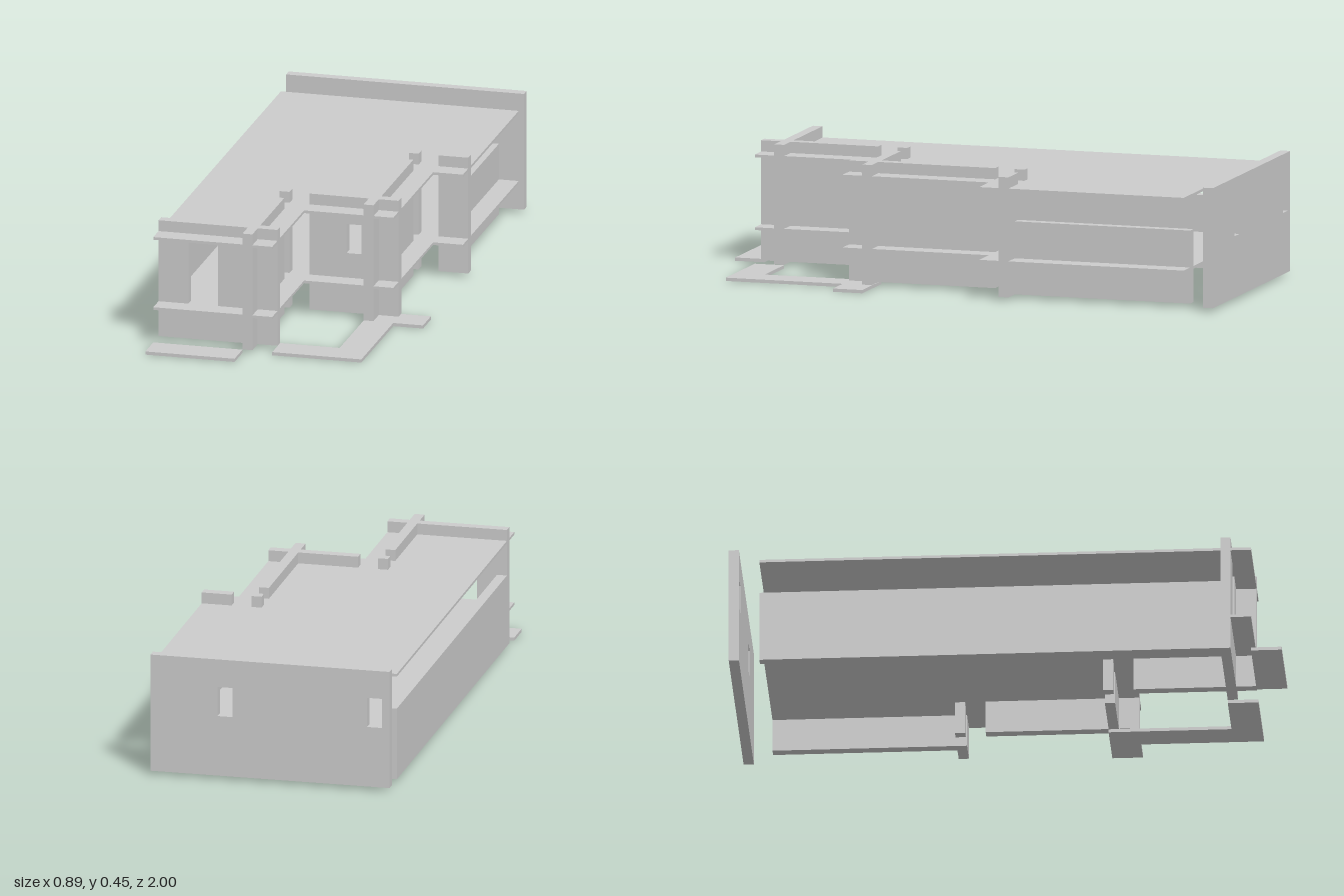
import * as THREE from 'three';

const M = 1 / 9;          // planning module
const T = M / 3;          // wall thickness
const BASE = 0.013;       // underside of the walls
const TOP = 0.452;        // top of the full-height walls
const LOW = 0.28;         // top of the low side walls

export function createModel() {
  const group = new THREE.Group();
  const material = new THREE.MeshStandardMaterial({ color: 0xcccccc, flatShading: true });

  const add = (name, geometry) => {
    const mesh = new THREE.Mesh(geometry, material);
    mesh.name = name;
    group.add(mesh);
    return mesh;
  };

  // Block given by its extents
  const block = (name, x0, x1, z0, z1, y0 = BASE, y1 = TOP) =>
    add(name, new THREE.BoxGeometry(x1 - x0, y1 - y0, z1 - z0))
      .position.set((x0 + x1) / 2, (y0 + y1) / 2, (z0 + z1) / 2);

  const outline = (points, Type = THREE.Shape) =>
    new Type(points.map(([x, y]) => new THREE.Vector2(x, y)));
  const rect = (x0, x1, y0, y1) => [[x0, y0], [x1, y0], [x1, y1], [x0, y1]];

  // Wall across x, pierced by rectangular openings [x0, x1, y0, y1]
  const piercedWall = (name, x0, x1, z, openings) => {
    const shape = outline(rect(x0, x1, BASE, TOP));
    shape.holes = openings.map((o) => outline(rect(...o).reverse(), THREE.Path));
    add(name, new THREE.ExtrudeGeometry(shape, { depth: T, bevelEnabled: false })).position.z = z;
  };

  // Flat slab from a plan outline in modules [x, z]
  const slab = (name, plan, y0, y1) => {
    const shape = outline(plan.map(([x, z]) => [x * M, -z * M]));
    const geometry = new THREE.ExtrudeGeometry(shape, { depth: y1 - y0, bevelEnabled: false });
    add(name, geometry.rotateX(-Math.PI / 2)).position.y = y0;
  };

  // Stepped floor and roof slabs
  const housePlan = [[-4, -8], [4, -8], [4, -1], [3, -1], [3, 4], [0, 4], [0, 8], [-4, 8]];
  slab('floorSlab', housePlan, 0.135, 0.145);
  slab('roofSlab', housePlan, 0.401, 0.411);

  // Paving at ground level
  slab('gardenPath', [[0, 7], [2, 7], [2, 3], [4, 3], [4, 4], [3, 4], [3, 8], [0, 8]], 0, 0.012);
  slab('frontStep', [[-4, 8], [-1, 8], [-1, 9], [-4, 9]], 0, 0.012);

  // Walls across the house, with their openings
  const slot = [0.139, 0.195, 0.238, 0.348];
  piercedWall('backWall', -4 * M, 4 * M, -9 * M, [slot, [-0.417, -0.361, 0.238, 0.348]]);
  piercedWall('middleWall', 0, 3 * M, 3 * M, [slot]);
  piercedWall('frontWall', -4 * M, 0, 7 * M, [[-3 * M, -2 * M, 0.145, 0.401]]);
  block('sideFin', 3 * M, 4 * M, -2 * M, -2 * M + T);

  // Walls along the house, crossing the front and middle walls
  block('frontCrossWall', -M, -M + T, 4 * M, 8 * M);
  block('middleCrossWall', 2 * M, 2 * M + T, -M, 4 * M);

  // Free-standing columns at the inner corners
  for (const [x, z] of [[-1, 3], [2, -2]]) {
    block('column', x * M, x * M + T, z * M, z * M + T);
  }

  // Low side walls, open below the roof
  block('longSideWall', -4 * M, -4 * M + T, -8 * M, 7 * M, BASE, LOW);
  block('shortSideWall', 3 * M, 3 * M + T, -8 * M, -2 * M, BASE, LOW);

  return group;
}
